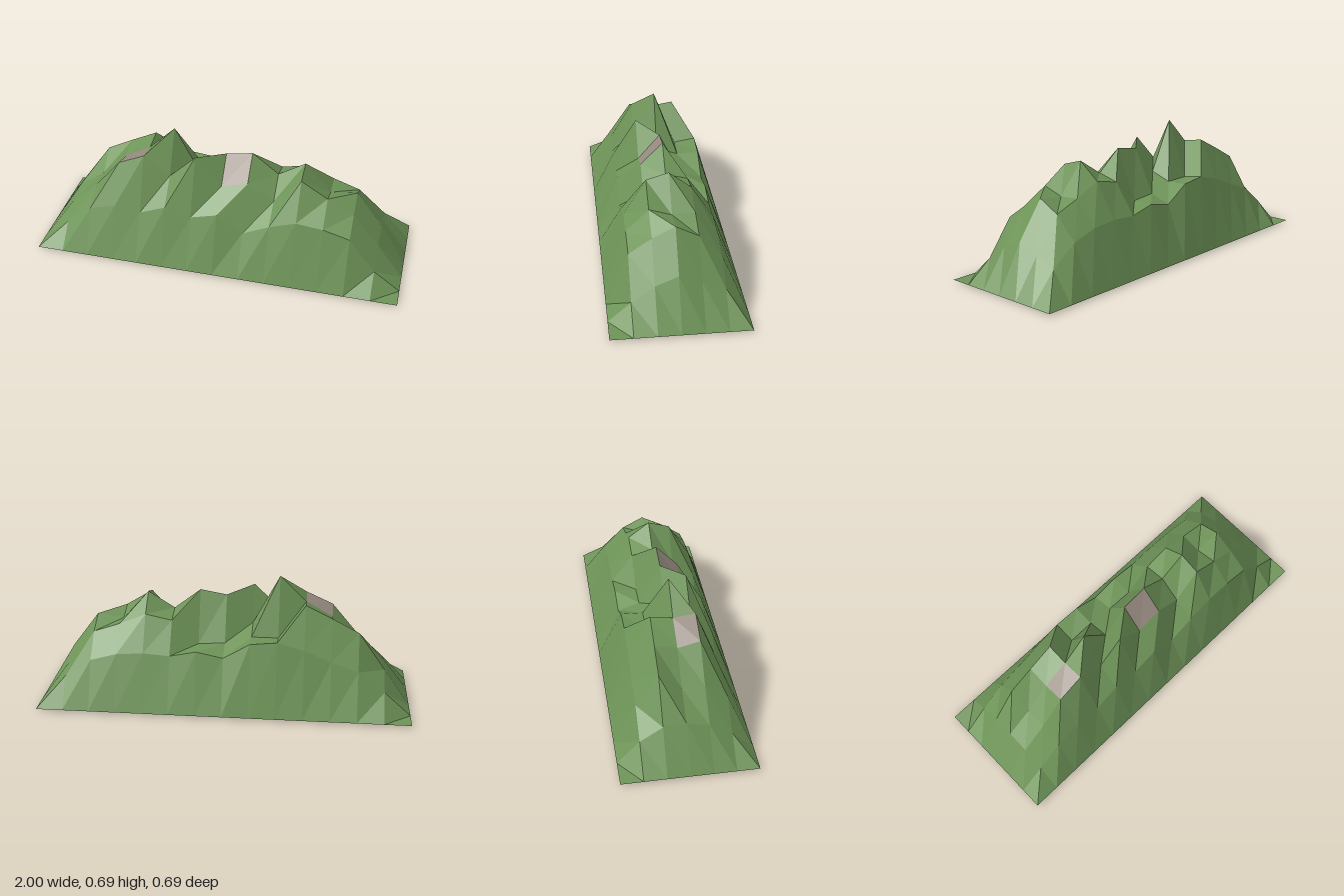
import * as THREE from 'three';

const mat = (name, color, side = THREE.FrontSide) => {
  const m = new THREE.MeshStandardMaterial({ color, side });
  m.name = name;
  return m;
};

// Inner heights of the ridge, back row to front row; the rim stays at ground level
const HEIGHTS = [
  [.14, .25, .30, .36, .40, .385, .30, .33, .30, .31, .30, .26, .16],
  [.22, .425, .50, .57, .38, .38, .34, .33, .46, .49, .43, .38, .20],
  [.23, .33, .47, .55, .69, .42, .575, .60, .49, .58, .42, .44, .25],
  [.20, .33, .50, .565, .46, .60, .44, .48, .39, .545, .457, .38, .20],
  [.13, .25, .29, .27, .33, .29, .33, .235, .305, .355, .34, .30, .115],
];
const COLS = 14, ROWS = 6, RIM = 0.01;
const ROCK_CELLS = [3 * COLS + 3, 3 * COLS + 7];

function makeMountain(grass, rock) {
  const plane = new THREE.PlaneGeometry(2, 0.694, COLS, ROWS).rotateX(-Math.PI / 2);
  const pos = plane.attributes.position;
  for (let i = 0; i < pos.count; i++) {
    const row = Math.floor(i / (COLS + 1)), col = i % (COLS + 1);
    pos.setY(i, HEIGHTS[row - 1]?.[col - 1] ?? RIM);
  }
  const geo = plane.toNonIndexed();
  geo.computeVertexNormals();
  // One group per grid cell, with two bare rock cells
  geo.clearGroups();
  for (let c = 0; c < COLS * ROWS; c++) geo.addGroup(c * 6, 6, ROCK_CELLS.includes(c) ? 1 : 0);
  const mesh = new THREE.Mesh(geo, [grass, rock]);
  mesh.name = 'mountain';
  return mesh;
}

function makeCabin(wood, dark, tan) {
  const cabin = new THREE.Group();
  cabin.name = 'cabin';
  const box = (name, m, w, h, d, x, y, z) => {
    const mesh = new THREE.Mesh(new THREE.BoxGeometry(w, h, d), m);
    mesh.position.set(x, y, z);
    mesh.name = name;
    cabin.add(mesh);
    return mesh;
  };

  // Deck, walls and eaves
  box('floor', dark, 0.42, 0.02, 0.27, 0, 0.05, 0);
  box('walls', wood, 0.37, 0.11, 0.22, 0, 0.115, 0);
  box('eaves', dark, 0.44, 0.012, 0.29, 0, 0.176, 0);

  // Gable roof
  const gable = new THREE.Shape([
    new THREE.Vector2(-0.14, 0), new THREE.Vector2(0.14, 0), new THREE.Vector2(0, 0.07),
  ]);
  const roof = new THREE.Mesh(
    new THREE.ExtrudeGeometry(gable, { depth: 0.42, bevelEnabled: false })
      .translate(0, 0, -0.21).rotateY(Math.PI / 2), wood);
  roof.position.y = 0.182;
  roof.name = 'roof';
  cabin.add(roof);

  // Wall panels, corner posts, rails and feet
  for (const s of [-1, 1]) {
    for (let i = 0; i < 4; i++)
      box('sidePanel', tan, 0.07, 0.06, 0.006, -0.135 + i * 0.09, 0.12, s * 0.112);
    for (const z of [-0.055, 0.055])
      box('endPanel', tan, 0.006, 0.06, 0.075, s * 0.187, 0.12, z);
    box('rail', wood, 0.42, 0.012, 0.012, 0, 0.08, s * 0.13);
    const awning = box('awning', wood, 0.05, 0.008, 0.2, s * 0.215, 0.155, 0);
    awning.rotation.z = -s * 0.4;
    for (const t of [-1, 1]) {
      box('cornerPost', wood, 0.016, 0.12, 0.016, s * 0.2, 0.115, t * 0.125);
      box('foot', dark, 0.01, 0.03, 0.01, s * 0.17, 0.03, t * 0.1);
    }
  }

  // Pointed boss under the floor
  const boss = new THREE.Mesh(new THREE.ConeGeometry(0.04, 0.04, 8).rotateX(Math.PI), dark);
  boss.position.y = 0.02;
  boss.name = 'floorBoss';
  cabin.add(boss);
  return cabin;
}

export function createModel() {
  const grass = mat('grass green', 0x6e9458, THREE.DoubleSide);
  const rock = mat('rock grey', 0x968a80, THREE.DoubleSide);
  const wood = mat('wood brown', 0x5e4630);
  const dark = mat('dark wood', 0x33271b);
  const tan = mat('tan panel', 0x94775a);
  const model = new THREE.Group();
  model.name = 'mountainWithCabin';
  model.add(makeMountain(grass, rock), makeCabin(wood, dark, tan));
  return model;
}
